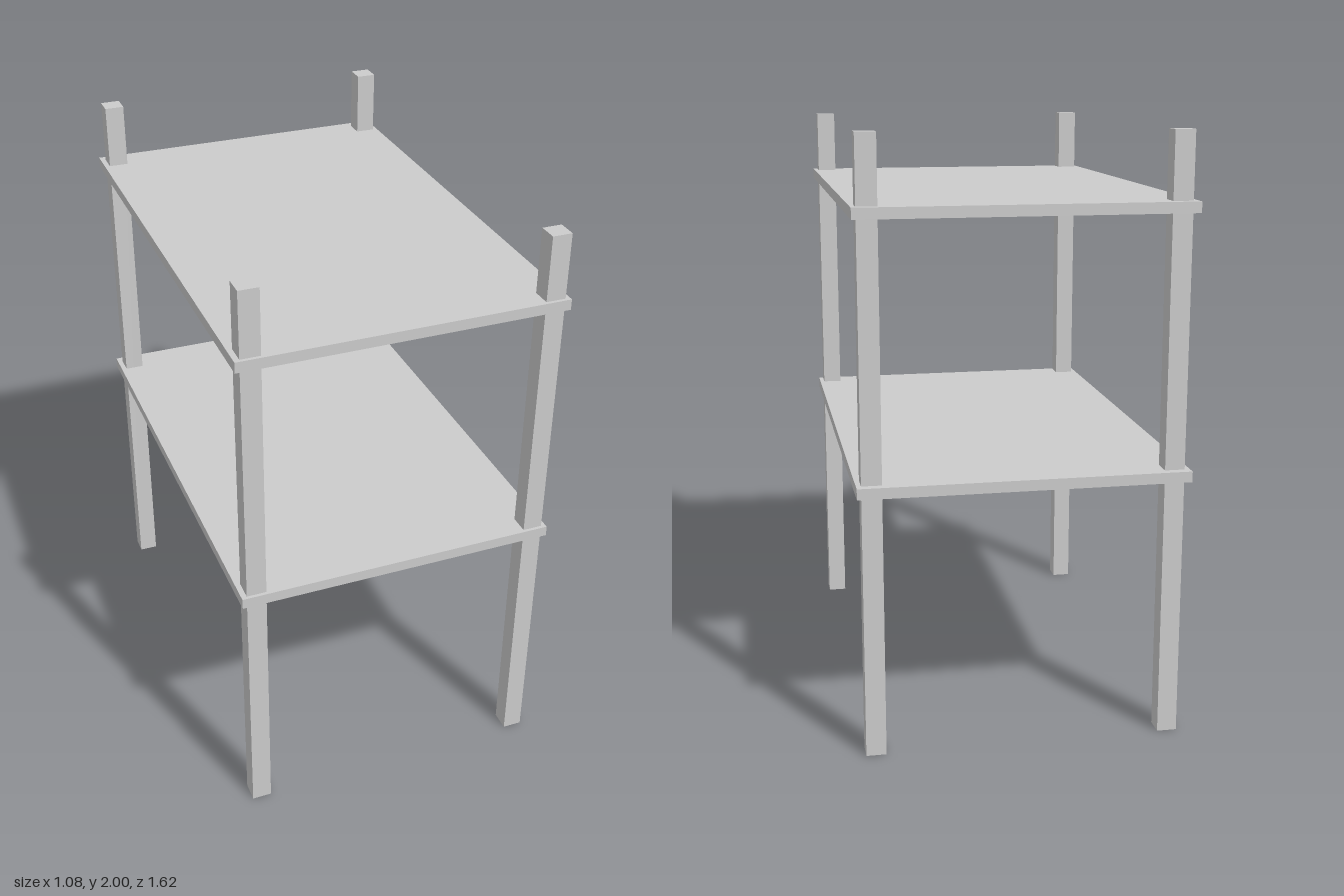
import * as THREE from 'three';

export function createModel() {
  const group = new THREE.Group();
  const material = new THREE.MeshStandardMaterial({ color: 0xcccccc, flatShading: true });

  function addBox(name, size, position) {
    const mesh = new THREE.Mesh(new THREE.BoxGeometry(...size), material);
    mesh.name = name;
    mesh.position.set(...position);
    group.add(mesh);
  }

  // Four square posts, the front pair set slightly closer to the shelf edge
  const postWidth = 0.066;
  for (const [side, x] of [['Left', 0.493], ['Right', -0.491]]) {
    for (const [end, z] of [['front', 0.767], ['back', -0.75]]) {
      addBox(`${end}${side}Post`, [postWidth, 2, postWidth], [x, 1, z]);
    }
  }

  // Two thin shelves that the posts pass through
  for (const [name, y] of [['lowerShelf', 0.897], ['upperShelf', 1.763]]) {
    addBox(name, [1.084, 0.036, 1.622], [0, y, 0]);
  }

  return group;
}
